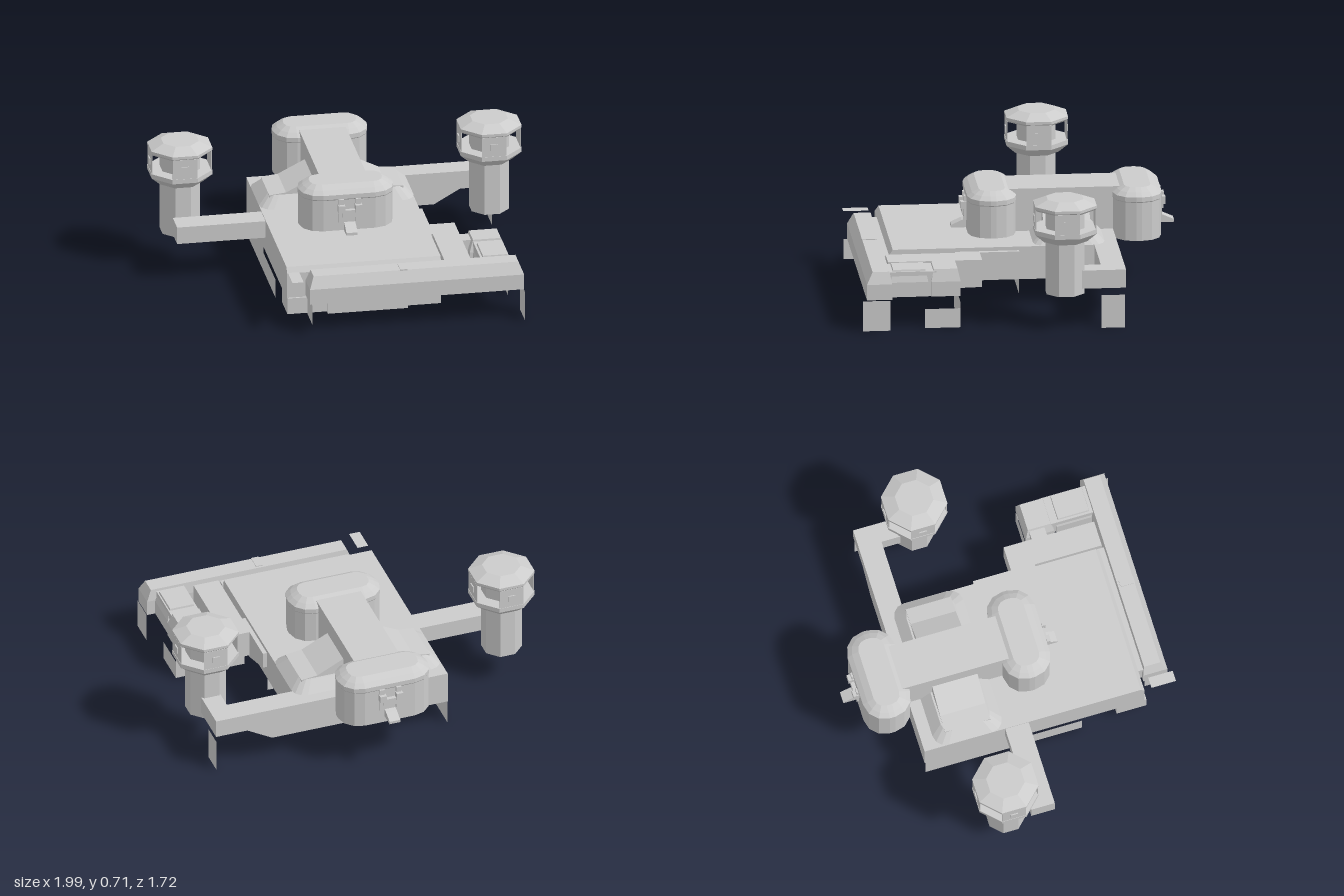
import * as THREE from 'three';

const mat = new THREE.MeshStandardMaterial({ color: 0xcccccc, flatShading: true });
const thin = new THREE.MeshStandardMaterial({ color: 0xcccccc, flatShading: true, side: THREE.DoubleSide });

function add(parent, name, geo, material = mat) {
  const m = new THREE.Mesh(geo, material);
  m.name = name;
  parent.add(m);
  return m;
}

// Box given by its limits
function box(parent, name, x0, x1, y0, y1, z0, z1) {
  const m = add(parent, name, new THREE.BoxGeometry(x1 - x0, y1 - y0, z1 - z0));
  m.position.set((x0 + x1) / 2, (y0 + y1) / 2, (z0 + z1) / 2);
}

// Rectangle outline with cut or rounded corners, counter-clockwise from above
function outline(hw, hd, r = 0, seg = 0) {
  const pts = [];
  [[1, 1], [-1, 1], [-1, -1], [1, -1]].forEach(([sx, sz], q) => {
    for (let i = 0; i <= seg; i++) {
      const a = (q + (seg ? i / seg : 0)) * Math.PI / 2;
      const k = seg ? r : 0;
      pts.push([sx * (hw - k) + k * Math.cos(a), -(sz * (hd - k) + k * Math.sin(a))]);
    }
  });
  return pts;
}

const ring = (pts, y, dx = 0, dz = 0) => pts.map(([x, z]) => [x + dx, y, z + dz]);

// Closed solid through a stack of rings, bottom to top
function loft(rings) {
  const pos = [], n = rings[0].length;
  const tri = (...p) => p.forEach(v => pos.push(...v));
  for (let k = 0; k < rings.length - 1; k++) {
    for (let i = 0; i < n; i++) {
      const j = (i + 1) % n, a = rings[k], b = rings[k + 1];
      tri(a[i], a[j], b[j]);
      tri(a[i], b[j], b[i]);
    }
  }
  const bottom = rings[0], top = rings[rings.length - 1];
  for (let i = 1; i < n - 1; i++) {
    tri(bottom[0], bottom[i + 1], bottom[i]);
    tri(top[0], top[i], top[i + 1]);
  }
  const g = new THREE.BufferGeometry();
  g.setAttribute('position', new THREE.Float32BufferAttribute(pos, 3));
  g.computeVertexNormals();
  return g;
}

// Solid extruded along z from an [x, y] profile
function profileZ(points, z0, z1) {
  const s = new THREE.Shape(points.map(p => new THREE.Vector2(...p)));
  return new THREE.ExtrudeGeometry(s, { depth: z1 - z0, bevelEnabled: false }).translate(0, 0, z0);
}

// Solid extruded along x from a [z, y] profile
function profileX(points, x0, x1) {
  return profileZ(points.map(([z, y]) => [-z, y]), x0, x1).rotateY(Math.PI / 2);
}

// Eight-sided lookout tower
function tower(x, z) {
  const g = new THREE.Group();
  g.name = 'tower';
  const oct = (h, y) => ring(outline(h, h, h * 0.586, 1), y);
  add(g, 'column', loft([oct(0.1, 0.19), oct(0.1, 0.67)]));
  add(g, 'headBase', loft([oct(0.115, 0.48), oct(0.163, 0.525), oct(0.163, 0.55)]));
  add(g, 'roof', loft([oct(0.155, 0.655), oct(0.163, 0.665), oct(0.163, 0.68), oct(0.095, 0.71)]));
  for (let i = 0; i < 4; i++) {
    const side = new THREE.Group();
    side.name = 'windowSide';
    side.rotation.y = i * Math.PI / 2;
    box(side, 'windowPanel', -0.066, 0.066, 0.55, 0.66, 0.157, 0.161);
    box(side, 'windowLatch', -0.02, 0.02, 0.585, 0.62, 0.158, 0.167);
    g.add(side);
  }
  g.position.set(x, 0, z);
  return g;
}

// Rounded pod with an outlet on its outer side; dir is +1 front, -1 back
function pod(name, z, dir, bottom) {
  const g = new THREE.Group();
  g.name = name;
  const hull = (d, y) => ring(outline(0.254 - d, 0.13 - d, 0.115 - d, 3), y);
  add(g, 'podShell', loft([hull(0.003, bottom), hull(0.003, 0.495), hull(0, 0.5), hull(0, 0.525), hull(0.025, 0.545), hull(0.06, 0.565)]));
  const outlet = new THREE.Group();
  outlet.name = 'outlet';
  outlet.rotation.y = dir > 0 ? 0 : Math.PI;
  for (const s of [-1, 1]) {
    const c = s * 0.046;
    box(outlet, 'bracket', c - 0.014, c + 0.014, 0.37, 0.5, 0.11, 0.14);
    box(outlet, 'bracketKnob', c - 0.018, c + 0.018, 0.43, 0.47, 0.11, 0.158);
  }
  box(outlet, 'crossPlate', -0.04, 0.04, 0.4, 0.44, 0.11, 0.148);
  add(outlet, 'spout', profileX([[0.11, 0.32], [0.205, 0.32], [0.205, 0.335], [0.15, 0.36], [0.11, 0.37]], -0.03, 0.03));
  g.add(outlet);
  g.position.z = z;
  return g;
}

export function createModel() {
  const model = new THREE.Group();
  model.name = 'fortifiedPlatform';

  // Main deck with a bevelled front edge, and the deeper keel below its front
  add(model, 'deck', profileX([[-0.525, 0.14], [0.69, 0.14], [0.69, 0.29], [0.67, 0.32], [-0.525, 0.32]], -0.415, 0.412));
  box(model, 'frontKeel', -0.415, 0.41, 0.06, 0.15, 0.535, 0.7);
  box(model, 'keelPlate', -0.2, 0.23, 0.05, 0.16, 0.66, 0.71);

  // Arms carrying the towers; the rear one is deeper near the deck
  box(model, 'rightArm', -0.89, -0.41, 0.22, 0.315, -0.08, 0.05);
  add(model, 'rearArm', profileZ([[0.4, 0.14], [0.57, 0.14], [0.71, 0.22], [0.885, 0.22], [0.885, 0.32], [0.4, 0.32]], -0.525, -0.4));
  box(model, 'rearArmNeck', 0.78, 0.885, 0.22, 0.32, -0.4, -0.28);
  model.add(tower(-0.83, -0.205), tower(0.83, -0.205));

  // Central mound, falling away from the bridge to both sides
  const mound = (hw, hd, r, y) => ring(outline(hw, hd, r, 3), y, 0, -0.27);
  add(model, 'moundBase', loft([mound(0.415, 0.19, 0.07, 0.32), mound(0.36, 0.135, 0.05, 0.375)]));
  add(model, 'moundTop', profileZ([[-0.36, 0.36], [0.36, 0.36], [0.36, 0.375], [0.27, 0.385],
    [0.12, 0.46], [-0.12, 0.46], [-0.27, 0.385], [-0.36, 0.375]], -0.395, -0.145));

  // Twin pods joined by a bridge
  model.add(pod('frontPod', 0.12, 1, 0.32), pod('rearPod', -0.652, -1, 0.285));
  box(model, 'bridge', -0.125, 0.125, 0.32, 0.553, -0.57, 0.04);

  // Front rampart with sloping upper edges
  add(model, 'frontRampart', loft([
    ring(outline(0.575, 0.067), 0.17, 0.255, 0.778),
    ring(outline(0.575, 0.067), 0.255, 0.255, 0.778),
    ring(outline(0.55, 0.045), 0.318, 0.255, 0.768)]));
  box(model, 'rampartBlock', 0.17, 0.21, 0.3, 0.322, 0.735, 0.815);
  box(model, 'rampartJoin', -0.3, 0.42, 0.18, 0.29, 0.68, 0.73);

  // Side walkway with a rising underside
  add(model, 'walkway', profileX([[0.21, 0.15], [0.71, 0.14], [0.71, 0.3], [0.21, 0.3]], 0.43, 0.57));
  add(model, 'walkwayRamp', profileX([[0.0, 0.21], [0.21, 0.14], [0.34, 0.14], [0.34, 0.3], [0.0, 0.3]], 0.405, 0.435));

  // Corner blocks on the left side
  const block = (name, x, z, hw, hd) => add(model, name, loft([
    ring(outline(hw, hd), 0.17, x, z),
    ring(outline(hw, hd), 0.25, x, z),
    ring(outline(hw - 0.02, hd - 0.015), 0.315, x, z)]));
  block('cornerBlock', 0.695, 0.422, 0.095, 0.078);
  block('sideBlock', 0.7, 0.615, 0.085, 0.1);
  box(model, 'blockNeck', 0.62, 0.775, 0.17, 0.305, 0.47, 0.72);
  box(model, 'blockLink', 0.56, 0.64, 0.19, 0.3, 0.365, 0.45);

  // Hanging panels facing sideways: x, z0, z1, y0, y1
  for (const [x, z0, z1, y0, y1] of [
    [0.88, -0.52, -0.395, 0, 0.18], [-0.415, -0.52, -0.01, 0, 0.18],
    [-0.415, -0.01, 0.345, 0, 0.105], [0.8, 0.345, 0.535, 0, 0.105],
    [0.83, 0.72, 0.865, 0, 0.165], [-0.31, 0.72, 0.865, 0.06, 0.17]]) {
    const p = add(model, 'sidePanel', new THREE.PlaneGeometry(z1 - z0, y1 - y0), thin);
    p.rotation.y = Math.PI / 2;
    p.position.set(x, (y0 + y1) / 2, (z0 + z1) / 2);
  }

  // Hanging panels facing front: z, x0, x1, y0, y1
  for (const [z, x0, x1, y0, y1] of [
    [0.345, 0.415, 0.8, 0, 0.135], [0.0, 0.05, 0.41, 0.06, 0.15]]) {
    const p = add(model, 'frontPanel', new THREE.PlaneGeometry(x1 - x0, y1 - y0), thin);
    p.position.set((x0 + x1) / 2, (y0 + y1) / 2, z);
  }

  // Loose flat plate beside the rampart
  const plate = add(model, 'flatPlate', new THREE.PlaneGeometry(0.06, 0.135), thin);
  plate.rotation.x = -Math.PI / 2;
  plate.position.set(-0.387, 0.31, 0.795);

  return model;
}
